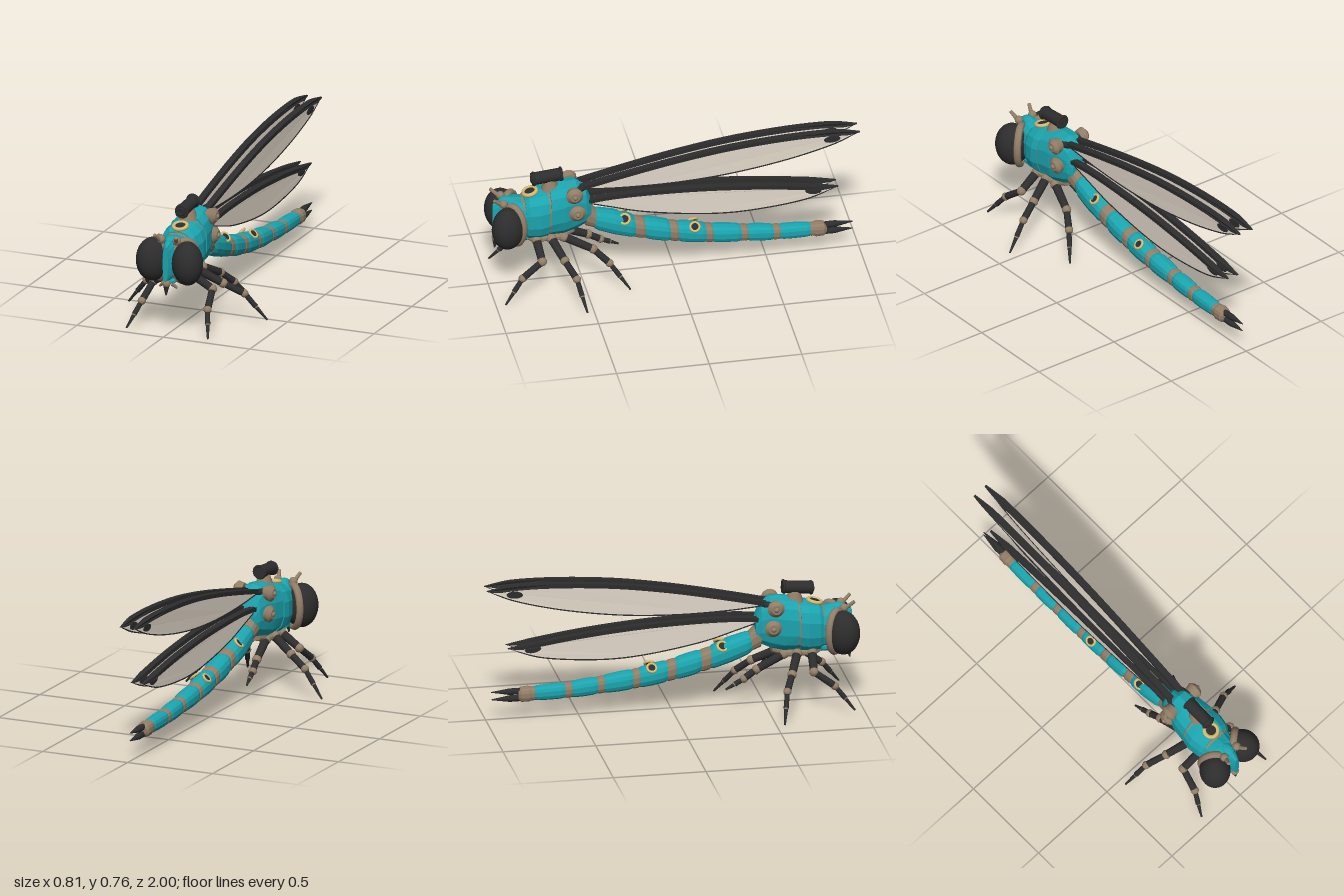
import * as THREE from 'three';

const mat = (name, color) => Object.assign(new THREE.MeshStandardMaterial({ color }), { name });
const V = (x, y, z) => new THREE.Vector3(x, y, z);

export function createModel() {
  const teal = mat('teal shell', 0x1ba4ae), dark = mat('dark metal', 0x2d2d2d);
  const tan = mat('bronze joint', 0x927e67), cream = mat('wing membrane', 0xebe0d2);
  const gold = mat('gold trim', 0xd6bb74);
  const root = new THREE.Group();
  root.name = 'mechanicalDragonfly';

  const add = (name, geo, material, parent = root) => {
    const m = new THREE.Mesh(geo, material);
    m.name = name;
    parent.add(m);
    return m;
  };

  // Faceted hull through cross-sections [z, centreY, radiusX, radiusY]; e < 1 makes it boxier
  const loft = (sections, sides = 14, e = 0.8) => {
    const s = [...sections].sort((a, b) => a[0] - b[0]), pos = [], idx = [];
    const pw = v => Math.sign(v) * Math.abs(v) ** e;
    for (const [z, y, rx, ry] of s) for (let j = 0; j < sides; j++) {
      const a = (j + 0.5) / sides * Math.PI * 2;
      pos.push(rx * pw(Math.cos(a)), y + ry * pw(Math.sin(a)), z);
    }
    for (const k of [0, s.length - 1]) pos.push(0, s[k][1], s[k][0]);
    const c0 = s.length * sides, top = (s.length - 1) * sides;
    for (let j = 0; j < sides; j++) {
      const n = (j + 1) % sides;
      for (let i = 0; i < s.length - 1; i++) {
        const a = i * sides + j, b = i * sides + n;
        idx.push(a, b, a + sides, b, b + sides, a + sides);
      }
      idx.push(c0, n, j, c0 + 1, top + j, top + n);
    }
    const g = new THREE.BufferGeometry();
    g.setAttribute('position', new THREE.Float32BufferAttribute(pos, 3));
    g.setIndex(idx);
    const flat = g.toNonIndexed();
    flat.computeVertexNormals();
    return flat;
  };

  // Tapered rod from a to b
  const rod = (name, a, b, ra, rb, material, parent = root, sides = 12) => {
    const d = b.clone().sub(a);
    const m = add(name, new THREE.CylinderGeometry(rb, ra, d.length(), sides), material, parent);
    m.position.copy(a).add(b).multiplyScalar(0.5);
    m.quaternion.setFromUnitVectors(V(0, 1, 0), d.normalize());
    return m;
  };
  const ball = (name, p, r, material, parent = root) => {
    const m = add(name, new THREE.SphereGeometry(r, 16, 12), material, parent);
    m.position.copy(p);
    return m;
  };

  // Round socket: gold rim with a dark centre
  const port = (name, p, normal, r) => {
    const g = new THREE.Group();
    g.name = name;
    add('rim', new THREE.TorusGeometry(r, r * 0.3, 8, 20), gold, g);
    add('socket', new THREE.CylinderGeometry(r, r, 0.009, 20).rotateX(Math.PI / 2), dark, g);
    g.position.copy(p);
    g.quaternion.setFromUnitVectors(V(0, 0, 1), normal.normalize());
    root.add(g);
  };

  // Thorax
  add('neckCollar', loft([[0.83, 0.41, 0.085, 0.11], [0.79, 0.415, 0.1, 0.12]]), tan);
  add('frontThorax', loft([[0.81, 0.415, 0.095, 0.12], [0.79, 0.42, 0.108, 0.132],
    [0.73, 0.425, 0.118, 0.138], [0.685, 0.43, 0.112, 0.137]]), teal);
  add('thoraxSeam', loft([[0.7, 0.43, 0.107, 0.133], [0.66, 0.435, 0.107, 0.137]]), tan);
  add('rearThorax', loft([[0.675, 0.44, 0.112, 0.143], [0.6, 0.445, 0.102, 0.152],
    [0.53, 0.455, 0.085, 0.145], [0.48, 0.45, 0.07, 0.115], [0.45, 0.42, 0.05, 0.07]]), teal);
  add('bellyPlate', loft([[0.8, 0.295, 0.045, 0.02], [0.76, 0.285, 0.07, 0.025],
    [0.62, 0.285, 0.065, 0.025], [0.54, 0.31, 0.04, 0.025]]), tan);
  add('waist', loft([[0.48, 0.39, 0.06, 0.07], [0.42, 0.35, 0.05, 0.055]]), tan);
  port('collarPort', V(0, 0.555, 0.775), V(0, 1, 0.25), 0.036);

  // Cylinder on the back
  rod('backMount', V(0, 0.56, 0.665), V(0, 0.62, 0.665), 0.05, 0.03, tan);
  rod('backCylinder', V(0, 0.645, 0.6), V(0, 0.63, 0.765), 0.034, 0.034, dark, root, 20);
  for (const [y, z] of [[0.645, 0.608], [0.6305, 0.755]]) {
    add('cylinderRim', new THREE.TorusGeometry(0.032, 0.008, 8, 20), dark).position.set(0, y, z);
  }
  add('cylinderLens', new THREE.TorusGeometry(0.017, 0.006, 8, 16), dark).position.set(0, 0.63, 0.765);

  // Head
  add('skull', loft([[0.81, 0.41, 0.095, 0.11], [0.87, 0.415, 0.075, 0.118],
    [0.93, 0.415, 0.035, 0.115], [0.975, 0.4, 0.015, 0.1]]), teal);
  const brow = add('brow', new THREE.SphereGeometry(1, 12, 8), teal);
  brow.scale.set(0.03, 0.022, 0.045);
  brow.position.set(0, 0.516, 0.9);
  const muzzle = ball('muzzle', V(0, 0.288, 0.96), 0.022, tan);
  muzzle.scale.set(1, 1, 0.9);
  rod('beak', V(0, 0.275, 0.96), V(0, 0.225, 0.965), 0.017, 0.003, dark);
  add('chin', loft([[0.95, 0.295, 0.025, 0.012], [0.88, 0.3, 0.055, 0.022], [0.8, 0.31, 0.07, 0.03]]), teal);
  for (const s of [1, -1]) {
    const eye = new THREE.Group();
    eye.name = s > 0 ? 'leftEye' : 'rightEye';
    eye.position.set(s * 0.1, 0.4, 0.911);
    eye.rotation.y = s * 0.68;
    const globe = add('globe', new THREE.SphereGeometry(1, 32, 24), dark, eye);
    globe.scale.set(0.083, 0.12, 0.092);
    const rim = add('rim', new THREE.TorusGeometry(0.077, 0.013, 8, 28), tan, eye);
    rim.scale.set(1, 1.46, 1.6);
    rim.position.z = -0.045;
    root.add(eye);
    ball('antennaBase', V(s * 0.045, 0.52, 0.925), 0.023, tan);
    rod('antenna', V(s * 0.045, 0.515, 0.93), V(s * 0.062, 0.557, 0.978), 0.012, 0.009, tan);
    rod('mandible', V(s * 0.025, 0.285, 0.94), V(s * 0.05, 0.262, 0.93), 0.012, 0.006, tan);
  }

  // Abdomen: [z, centreY, radius] along its length
  const spine = [[0.45, 0.355, 0.06], [0.3, 0.305, 0.066], [0.2, 0.268, 0.061], [0, 0.217, 0.058],
    [-0.2, 0.18, 0.053], [-0.37, 0.16, 0.047], [-0.55, 0.142, 0.043], [-0.85, 0.132, 0.036]];
  const section = (z, k) => {
    const i = Math.max(1, spine.findIndex(p => p[0] <= z)), a = spine[i - 1], b = spine[i];
    const t = (z - a[0]) / (b[0] - a[0]), r = a[2] + (b[2] - a[2]) * t;
    return [z, a[1] + (b[1] - a[1]) * t, r * k * 0.95, r * k];
  };
  const cuts = [[0.43, 0.21], [0.16, 0.02], [-0.02, -0.175], [-0.205, -0.365], [-0.395, -0.54], [-0.57, -0.74]];
  cuts.forEach(([a, b], i) => {
    add('abdomenSegment' + (i + 1), loft([section(a, 0.88), section(a - 0.025, 1),
      section((a + b) / 2, 1.03), section(b + 0.02, 1), section(b, 0.9)]), teal);
    const next = i < 5 ? cuts[i + 1][0] : -0.76;
    const mid = (b + next) / 2, h = (b - next) / 2 + 0.008;
    add('abdomenRing' + (i + 1), loft([section(mid + h, 0.86), section(mid + h * 0.5, 0.96),
      section(mid - h * 0.5, 0.96), section(mid - h, 0.86)]), tan);
  });
  add('tailCap', loft([section(-0.75, 0.9), section(-0.77, 1.1), section(-0.81, 1.05), section(-0.825, 0.7)]), tan);
  for (const y of [0.152, 0.113]) {
    rod('tailSpikeBase', V(0, y, -0.8), V(0, y, -0.87), 0.017, 0.018, dark);
    rod('tailSpike', V(0, y, -0.87), V(0, y + (y > 0.13 ? 0.003 : 0), -0.97), 0.018, 0.002, dark);
  }
  for (const s of [1, -1]) {
    port('abdomenPort', V(s * 0.041, 0.345, 0.27), V(s, 1, 0.2), 0.026);
    port('abdomenPort', V(s * 0.036, 0.247, -0.11), V(s, 1, 0.1), 0.024);
  }

  // Wings: upright blades, outlines as [z, y] from root to tip
  const wings = [
    { name: 'upperWing', hub: [0.555, 0.55],
      lead: [[0.53, 0.575], [0.3, 0.628], [0, 0.69], [-0.3, 0.737], [-0.6, 0.762], [-0.85, 0.764], [-1, 0.742]],
      trail: [[0.53, 0.56], [0.3, 0.541], [0, 0.537], [-0.3, 0.558], [-0.6, 0.608], [-0.85, 0.675], [-1, 0.742]],
      spot: [-0.85, 0.712, 0.06] },
    { name: 'lowerWing', hub: [0.445, 0.535],
      lead: [[0.5, 0.49], [0.35, 0.505], [0.15, 0.508], [-0.15, 0.498], [-0.45, 0.472], [-0.7, 0.438], [-0.885, 0.408]],
      trail: [[0.5, 0.475], [0.35, 0.428], [0.15, 0.37], [-0.15, 0.32], [-0.4, 0.31], [-0.7, 0.342], [-0.885, 0.408]],
      spot: [-0.75, 0.395, -0.12] },
  ];
  const smooth = pts => new THREE.SplineCurve(pts.map(([z, y]) => new THREE.Vector2(-z, y))).getPoints(40);
  // Plate of the given thickness that narrows towards the wing tip
  const slab = (outline, depth) => {
    const g = new THREE.ExtrudeGeometry(new THREE.Shape(outline), { depth, bevelEnabled: false })
      .translate(0, 0, -depth / 2).rotateY(Math.PI / 2);
    const p = g.attributes.position, tip = -Math.max(...outline.map(o => o.x));
    for (let i = 0; i < p.count; i++) p.setX(i, p.getX(i) * Math.min(1, 0.35 + (p.getZ(i) - tip) * 5));
    g.computeVertexNormals();
    return g;
  };
  const shifted = (pts, h) => pts.map((p, i) =>
    new THREE.Vector2(p.x, p.y + h * Math.min(1, (pts.length - 1 - i) / 4 + 0.05)));
  for (const s of [1, -1]) for (const w of wings) {
    const g = new THREE.Group();
    g.name = (s > 0 ? 'left ' : 'right ') + w.name;
    const lead = smooth(w.lead), trail = smooth(w.trail);
    add('membrane', slab([...shifted(trail, 0.003), ...shifted(lead, -0.012).reverse()], 0.006), cream, g);
    add('leadingEdge', slab([...shifted(lead, -0.023), ...[...lead].reverse()], 0.035), dark, g);
    add('trailingEdge', slab([...trail, ...shifted(trail, 0.006).reverse()], 0.012), dark, g);
    const spot = add('wingSpot', new THREE.CylinderGeometry(1, 1, 0.012, 10).rotateZ(Math.PI / 2), dark, g);
    spot.scale.set(1, 0.02, 0.045);
    spot.position.set(0, w.spot[1], w.spot[0]);
    spot.rotation.x = w.spot[2];
    // Slight outward lean about the root
    const [y, z] = w.hub;
    g.rotation.z = -s * 0.04;
    g.position.x = s * (0.033 - 0.04 * y);
    root.add(g);
    // Hub joint on the thorax side
    rod('wingHub', V(s * 0.06, y, z), V(s * 0.098, y, z), 0.036, 0.046, tan, root, 18);
    rod('wingHubCap', V(s * 0.098, y, z), V(s * 0.116, y, z), 0.046, 0.026, tan, root, 18);
    ball('wingHubBolt', V(s * 0.113, y, z), 0.014, tan);
    rod('wingRoot', V(s * 0.05, y, z), V(s * 0.035, w.lead[0][1] - 0.005, w.lead[0][0] - 0.05), 0.025, 0.014, dark);
  }

  // Legs: hip, knee, ankle, foot
  const leg = (name, pts) => {
    const g = new THREE.Group(), [a, b, c, d] = pts.map(p => V(...p)), toe = c.clone().lerp(d, 0.5);
    g.name = name;
    ball('hip', a, 0.028, tan, g);
    rod('thigh', a, b, 0.024, 0.021, dark, g);
    ball('knee', b, 0.025, tan, g);
    rod('shin', b, c, 0.018, 0.019, dark, g);
    ball('ankle', c, 0.022, tan, g);
    rod('footUpper', c, toe, 0.013, 0.014, dark, g);
    ball('toeJoint', toe, 0.0125, tan, g);
    rod('foot', toe, d, 0.011, 0.005, dark, g);
    root.add(g);
  };
  for (const s of [1, -1]) {
    const side = s > 0 ? 'left' : 'right';
    leg(side + 'FrontLeg', [[s * 0.06, 0.285, 0.75], [s * 0.17, 0.215, 0.74], [s * 0.19, 0.135, 0.85], [s * 0.235, 0.008, 0.95]]);
    leg(side + 'MiddleLeg', [[s * 0.06, 0.285, 0.67], [s * 0.18, 0.212, 0.62], [s * 0.283, 0.155, 0.575], [s * 0.4, 0.012, 0.54]]);
  }
  leg('leftHindLeg', [[0.05, 0.28, 0.6], [0.09, 0.21, 0.45], [0.135, 0.14, 0.37], [0.205, 0.005, 0.27]]);
  leg('rightHindLeg', [[-0.04, 0.28, 0.6], [-0.06, 0.21, 0.45], [-0.07, 0.165, 0.38], [-0.083, 0.115, 0.28]]);
  return root;
}
